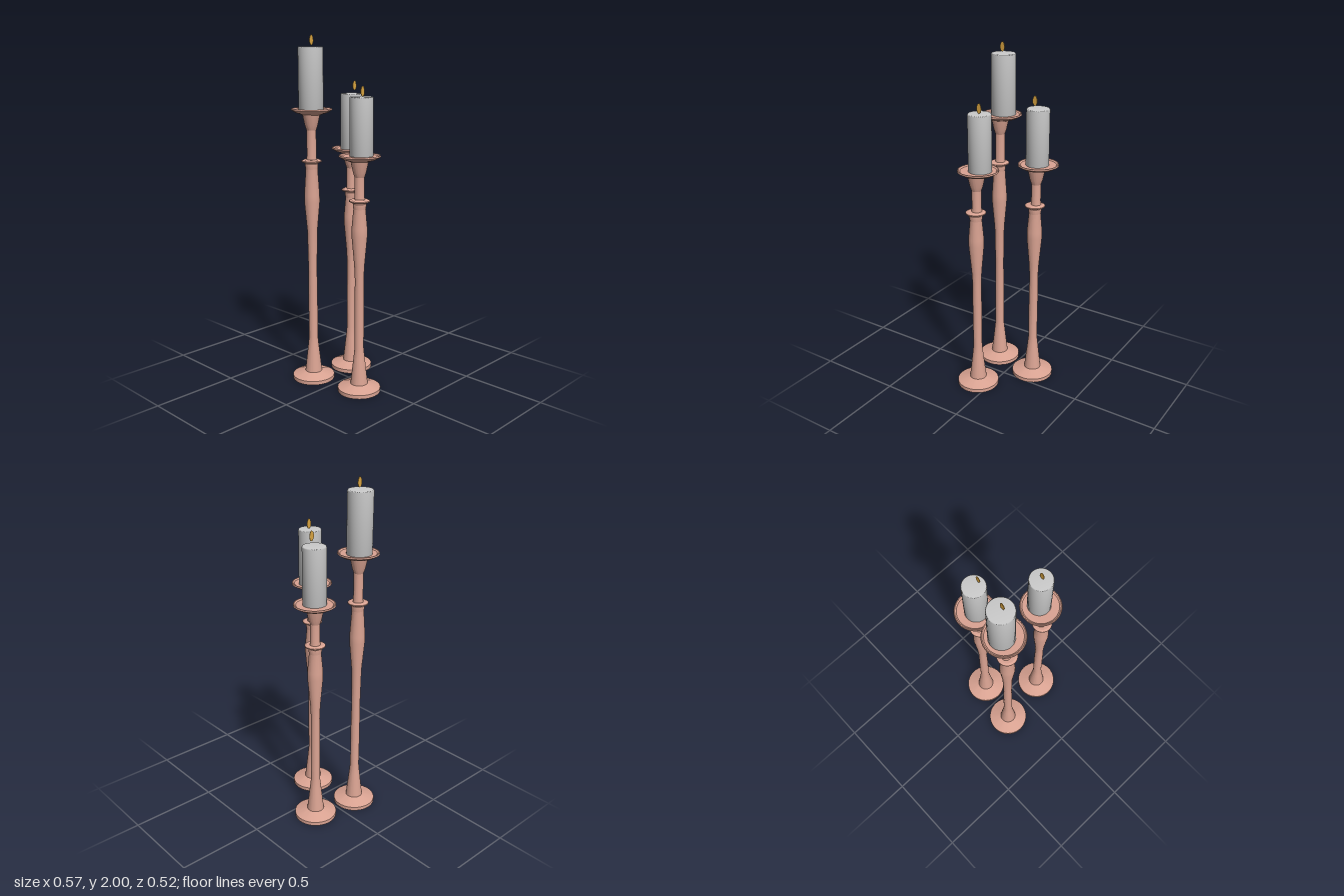
import * as THREE from 'three';
import { toCreasedNormals } from 'three/addons/utils/BufferGeometryUtils.js';

const copper = new THREE.MeshStandardMaterial({ color: 0xdba493 });
const wax = new THREE.MeshStandardMaterial({ color: 0xcccccc });
const fire = new THREE.MeshStandardMaterial({ color: 0xd9a441, side: THREE.DoubleSide });

function lathe(profile, sides = 40) {
  return new THREE.LatheGeometry(profile.map(([r, y]) => new THREE.Vector2(r, y)), sides);
}

function addMesh(parent, name, geometry, material, x = 0, y = 0, z = 0) {
  const mesh = new THREE.Mesh(geometry, material);
  mesh.name = name;
  mesh.position.set(x, y, z);
  parent.add(mesh);
}

const turned = (profile) => toCreasedNormals(lathe(profile), 0.3);

// Thin leaf-shaped flame, 0.055 tall, lying in the YZ plane
function flameGeometry() {
  const s = new THREE.Shape();
  s.moveTo(0, 0);
  s.bezierCurveTo(0.014, 0.004, 0.021, 0.03, 0.005, 0.055);
  s.lineTo(-0.003, 0.055);
  s.bezierCurveTo(-0.021, 0.04, -0.018, 0.006, 0, 0);
  const g = new THREE.ExtrudeGeometry(s, { depth: 0.003, bevelEnabled: false, curveSegments: 10 });
  return g.translate(0, 0, -0.0015).rotateY(Math.PI / 2);
}

// ring = collar height, tray = tray top height; positions are [x, z]
function candlestick({ name, base, plate, candle, flame, waist, ring, tray, candleTop, candleR, flameY }) {
  const g = new THREE.Group();
  g.name = name;
  const [bx, bz] = base;

  // Round foot with a shallow sloping top
  addMesh(g, 'foot', turned([
    [0, 0], [0.123, 0], [0.123, 0.022], [0.05, 0.045], [0, 0.045],
  ]), copper, bx, 0, bz);

  // Turned stem: flared bottom, slim shaft, swollen waist
  addMesh(g, 'stem', turned([
    [0.05, 0.04], [0.032, 0.2], [0.026, 0.26], [0.027, 0.5], [0.025, 0.66],
    [0.029, waist - 0.19], [0.044, waist - 0.02], [0.044, waist + 0.02],
    [0.034, ring - 0.045], [0.037, ring - 0.03], [0.037, ring - 0.015], [0.027, ring - 0.008],
  ]), copper, bx, 0, bz);

  // Thin collar disc
  addMesh(g, 'collar', turned([
    [0, ring - 0.009], [0.045, ring - 0.009], [0.057, ring - 0.003],
    [0.057, ring + 0.003], [0.045, ring + 0.009], [0, ring + 0.009],
  ]), copper, bx, 0, bz);

  // Neck flaring out under the tray
  addMesh(g, 'neck', turned([
    [0.03, ring], [0.027, ring + 0.03], [0.027, tray - 0.12],
    [0.036, tray - 0.095], [0.05, tray - 0.03],
  ]), copper, bx - 0.004, 0, bz - 0.004);

  // Dished tray, set slightly off the stem axis
  addMesh(g, 'tray', turned([
    [0, tray - 0.036], [0.05, tray - 0.036], [0.09, tray - 0.023], [0.115, tray - 0.008],
    [0.113, tray], [0.108, tray], [0.1, tray - 0.006], [0, tray - 0.006],
  ]), copper, plate[0], 0, plate[1]);

  // Pillar candle with soft shading over the rim
  addMesh(g, 'candle', lathe([
    [0, tray - 0.006], [candleR, tray - 0.006], [candleR, candleTop - 0.006],
    [candleR - 0.004, candleTop], [0, candleTop],
  ]), wax, candle[0], 0, candle[1]);

  addMesh(g, 'flame', flameGeometry(), fire, flame[0], flameY, flame[1]);
  return g;
}

export function createModel() {
  const model = new THREE.Group();
  model.name = 'candlesticks';
  const short = { waist: 0.935, ring: 1.112, tray: 1.362, candleTop: 1.675, candleR: 0.065 };
  model.add(
    candlestick({
      name: 'tallCandlestick', base: [-0.16, 0.137], plate: [-0.168, 0.125],
      candle: [-0.179, 0.12], flame: [-0.17, 0.121],
      waist: 1.09, ring: 1.306, tray: 1.6, candleTop: 1.937, candleR: 0.07, flameY: 1.945,
    }),
    candlestick({
      ...short, name: 'backCandlestick', base: [-0.112, -0.137], plate: [-0.122, -0.149],
      candle: [-0.117, -0.145], flame: [-0.09, -0.14], flameY: 1.693,
    }),
    candlestick({
      ...short, name: 'leftCandlestick', base: [0.16, 0.082], plate: [0.149, 0.07],
      candle: [0.149, 0.057], flame: [0.155, 0.055], flameY: 1.675,
    }),
  );
  return model;
}
